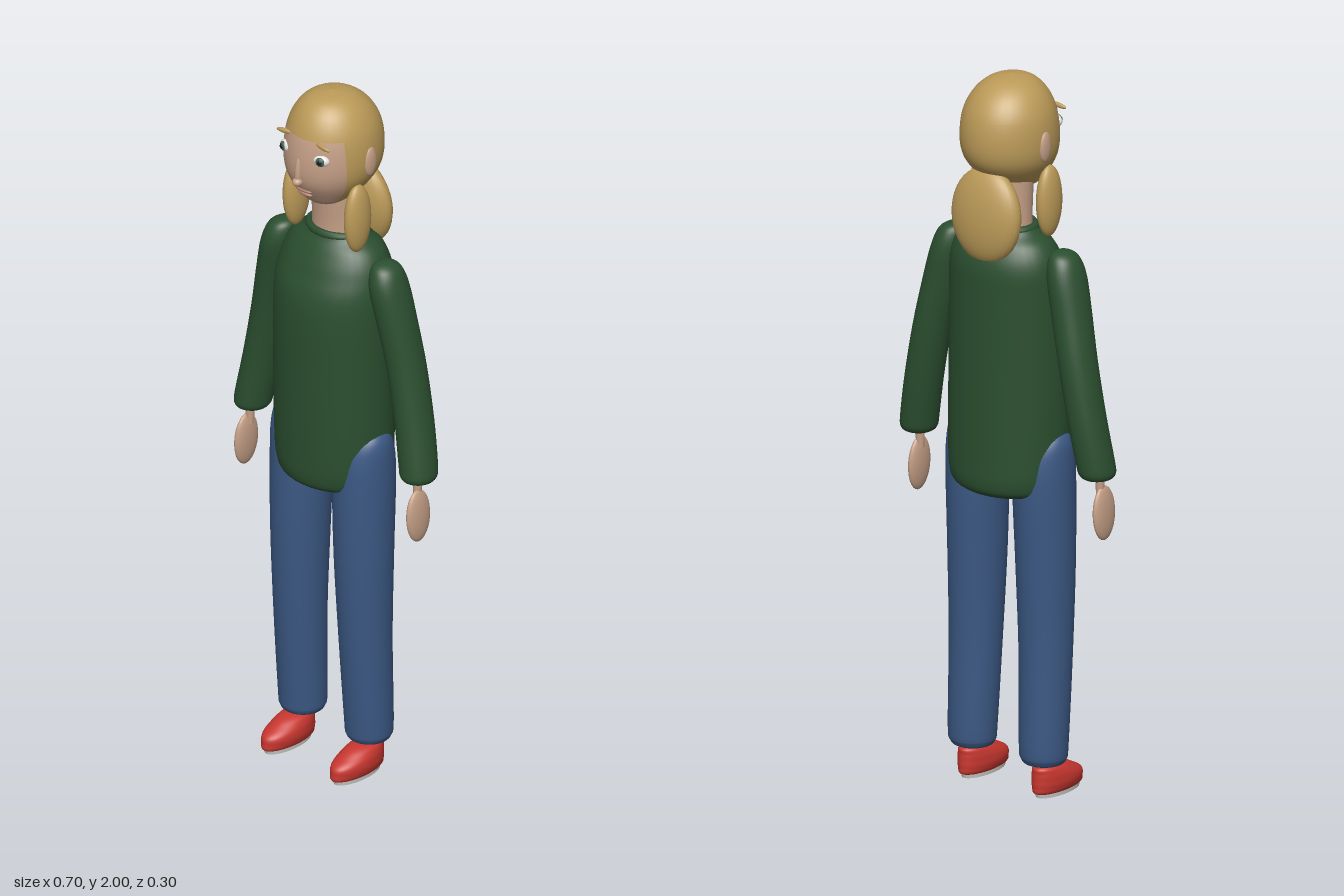
import * as THREE from 'three';
import { mergeVertices } from 'three/addons/utils/BufferGeometryUtils.js';

const mat = (name, color) => {
  const m = new THREE.MeshStandardMaterial({ color, side: THREE.DoubleSide });
  m.name = name;
  return m;
};

// Smooth curve through rings [y, centreX, centreZ, radiusX, radiusZ], listed bottom to top.
function rings(list) {
  const centre = new THREE.CatmullRomCurve3(list.map(r => new THREE.Vector3(r[1], r[0], r[2])), false, 'catmullrom');
  const radius = new THREE.CatmullRomCurve3(list.map(r => new THREE.Vector3(r[3], r[4], 0)), false, 'catmullrom');
  return (angle, t) => {
    const c = centre.getPoint(t), r = radius.getPoint(t);
    return new THREE.Vector3(
      c.x + Math.sin(angle) * Math.max(r.x, 0), c.y, c.z + Math.cos(angle) * Math.max(r.y, 0));
  };
}

// Grid surface; span(t) gives the first and last angle on each row, angle 0 facing +z.
function patch(point, { t0 = 0, t1 = 1, span = () => [0, Math.PI * 2], cols = 36, rows = 40 } = {}) {
  const pos = [], idx = [];
  for (let j = 0; j <= rows; j++) {
    const t = t0 + (t1 - t0) * j / rows, [a, b] = span(t);
    for (let i = 0; i <= cols; i++) pos.push(...point(a + (b - a) * i / cols, t).toArray());
  }
  for (let j = 0; j < rows; j++) for (let i = 0; i < cols; i++) {
    const a = j * (cols + 1) + i, d = a + cols + 1;
    idx.push(a, a + 1, d + 1, a, d + 1, d);
  }
  let g = new THREE.BufferGeometry();
  g.setAttribute('position', new THREE.Float32BufferAttribute(pos, 3));
  g.setIndex(idx);
  g = mergeVertices(g, 1e-5);
  g.computeVertexNormals();
  return g;
}

export function createModel() {
  const model = new THREE.Group();
  model.name = 'standingFigure';
  const hair = mat('hair', 0xbb9a58), skin = mat('skin', 0xc49f86), green = mat('sweater', 0x2b4f30),
    denim = mat('jeans', 0x3b5883), red = mat('shoe', 0xc7362f), pale = mat('sole', 0xd6d4d0),
    white = mat('eyeWhite', 0xe6e2de), iris = mat('iris', 0x3f6152), black = mat('pupil', 0x171717),
    lip = mat('lip', 0xa97c6c);

  const add = (name, geo, material, parent = model) => {
    const m = new THREE.Mesh(geo, material);
    m.name = name;
    parent.add(m);
    return m;
  };
  const loft = (name, list, material, opts) => add(name, patch(rings(list), opts), material);
  const ball = (name, p, r, material, parent) => {
    const m = add(name, new THREE.SphereGeometry(1, 28, 20), material, parent);
    m.position.set(...p);
    m.scale.set(...r);
    return m;
  };

  // Head: one surface divided into face, hair around the back, and crown
  const head = rings([
    [1.675, 0, 0.045, 0, 0], [1.69, 0, 0.035, 0.05, 0.045], [1.72, 0, 0.015, 0.085, 0.09],
    [1.76, 0, 0.005, 0.113, 0.124], [1.80, 0, 0, 0.126, 0.138], [1.85, 0, -0.002, 0.128, 0.139],
    [1.90, 0, -0.002, 0.121, 0.130], [1.94, 0, 0, 0.104, 0.112], [1.97, 0, 0.003, 0.080, 0.086],
    [1.99, 0, 0.006, 0.048, 0.052], [2.0, 0, 0.008, 0, 0],
  ]);
  const hairline = 0.6, edge = t => 1.2 - 0.2 * (t / hairline);
  add('face', patch(head, { t1: hairline, span: t => [-edge(t), edge(t)] }), skin);
  add('backHair', patch(head, { t1: hairline, span: t => [edge(t), Math.PI * 2 - edge(t)] }), hair);
  add('crownHair', patch(head, { t0: hairline }), hair);

  // Neck
  loft('neck', [[1.54, 0, -0.015, 0.078, 0.062], [1.62, 0, -0.015, 0.074, 0.06],
    [1.74, 0, -0.01, 0.074, 0.065]], skin);

  // Hanging hair behind the neck
  ball('backHairLock', [0, 1.63, -0.1], [0.112, 0.132, 0.048], hair).rotation.x = 0.08;

  // Nose and mouth
  const bridge = ball('noseBridge', [0, 1.805, 0.134], [0.010, 0.046, 0.012], skin);
  bridge.rotation.x = -0.08;
  ball('noseTip', [0, 1.773, 0.139], [0.014, 0.012, 0.015], skin);
  ball('upperLip', [0, 1.741, 0.115], [0.029, 0.006, 0.010], lip);
  ball('lowerLip', [0, 1.727, 0.108], [0.025, 0.007, 0.011], lip);

  // Sweater body and collar
  loft('sweaterBody', [
    [0.84, 0, -0.005, 0, 0], [0.842, 0, -0.005, 0.09, 0.08], [0.85, 0, -0.005, 0.142, 0.118],
    [0.88, 0, -0.005, 0.167, 0.137], [0.97, 0, -0.003, 0.175, 0.140], [1.2, 0, 0, 0.176, 0.140],
    [1.4, 0, 0, 0.175, 0.138], [1.49, 0, -0.012, 0.166, 0.122], [1.545, 0, -0.016, 0.142, 0.098],
    [1.575, 0, -0.015, 0.105, 0.076], [1.592, 0, -0.015, 0.088, 0.068],
  ], green, { rows: 60 });
  const collar = add('collar', new THREE.TorusGeometry(0.082, 0.012, 12, 40), green);
  collar.rotation.x = Math.PI / 2;
  collar.scale.set(1, 0.8, 1);
  collar.position.set(0, 1.585, -0.015);

  // Paired parts
  for (const [s, side] of [[1, 'left'], [-1, 'right']]) {
    const mirror = list => list.map(([y, x, ...rest]) => [y, x * s, ...rest]);

    // Eye, brow and ear
    const eye = new THREE.Group();
    eye.name = side + 'Eye';
    eye.position.set(0.064 * s, 1.85, 0.115);
    eye.rotation.y = 0.35 * s;
    model.add(eye);
    ball('eyeWhite', [0, 0, 0], [0.023, 0.016, 0.013], white, eye);
    ball('iris', [0, 0, 0.009], [0.013, 0.013, 0.007], iris, eye);
    ball('pupil', [0, 0, 0.014], [0.007, 0.007, 0.004], black, eye);
    ball(side + 'Brow', [0.071 * s, 1.893, 0.117], [0.025, 0.007, 0.006], hair).rotation.z = -0.12 * s;
    ball(side + 'Ear', [0.125 * s, 1.823, -0.008], [0.011, 0.043, 0.022], skin);

    // Front lock of hair
    ball(side + 'HairLock', [0.111 * s, 1.66, 0.026], [0.027, 0.1, 0.045], hair);

    // Sleeve, bowed slightly backwards
    loft(side + 'Sleeve', mirror([
      [0.93, 0.302, -0.007, 0, 0], [0.932, 0.302, -0.007, 0.032, 0.034], [0.945, 0.301, -0.008, 0.048, 0.051],
      [0.98, 0.296, -0.011, 0.051, 0.054], [1.1, 0.274, -0.019, 0.051, 0.055], [1.25, 0.245, -0.02, 0.051, 0.056],
      [1.38, 0.217, -0.012, 0.052, 0.058], [1.47, 0.197, -0.006, 0.050, 0.059], [1.52, 0.187, -0.005, 0.041, 0.047],
      [1.54, 0.181, -0.005, 0.024, 0.028], [1.546, 0.179, -0.005, 0, 0],
    ]), green);

    // Wrist and hand
    const wrist = add(side + 'Wrist', new THREE.CylinderGeometry(0.013, 0.011, 0.07, 16), skin);
    wrist.position.set(0.304 * s, 0.915, 0);
    ball(side + 'Hand', [0.312 * s, 0.833, 0.006], [0.016, 0.076, 0.043], skin).rotation.z = 0.03 * s;

    // Trouser leg
    loft(side + 'Leg', mirror([
      [0.09, 0.12, -0.008, 0, 0], [0.092, 0.12, -0.008, 0.045, 0.044], [0.105, 0.12, -0.008, 0.062, 0.060],
      [0.15, 0.12, -0.008, 0.067, 0.065], [0.4, 0.118, 0.003, 0.072, 0.072], [0.65, 0.115, 0.006, 0.079, 0.082],
      [0.86, 0.113, 0.003, 0.083, 0.087], [0.95, 0.115, 0.003, 0.080, 0.082], [1.0, 0.122, 0.003, 0.067, 0.064],
      [1.025, 0.128, 0.003, 0.042, 0.038], [1.035, 0.13, 0.003, 0, 0],
    ]), denim);

    // Shoe and sole
    loft(side + 'Shoe', mirror([
      [0.008, 0.125, 0.044, 0, 0], [0.01, 0.125, 0.044, 0.034, 0.084], [0.03, 0.125, 0.043, 0.045, 0.092],
      [0.05, 0.125, 0.04, 0.046, 0.089], [0.068, 0.125, 0.025, 0.042, 0.073], [0.085, 0.125, 0.008, 0.031, 0.052],
      [0.094, 0.125, 0.002, 0, 0],
    ]), red, { rows: 30 });
    const sole = add(side + 'Sole', new THREE.CylinderGeometry(1, 0.93, 0.018, 36), pale);
    sole.scale.set(0.037, 1, 0.088);
    sole.position.set(0.125 * s, 0.009, 0.044);
  }
  return model;
}
